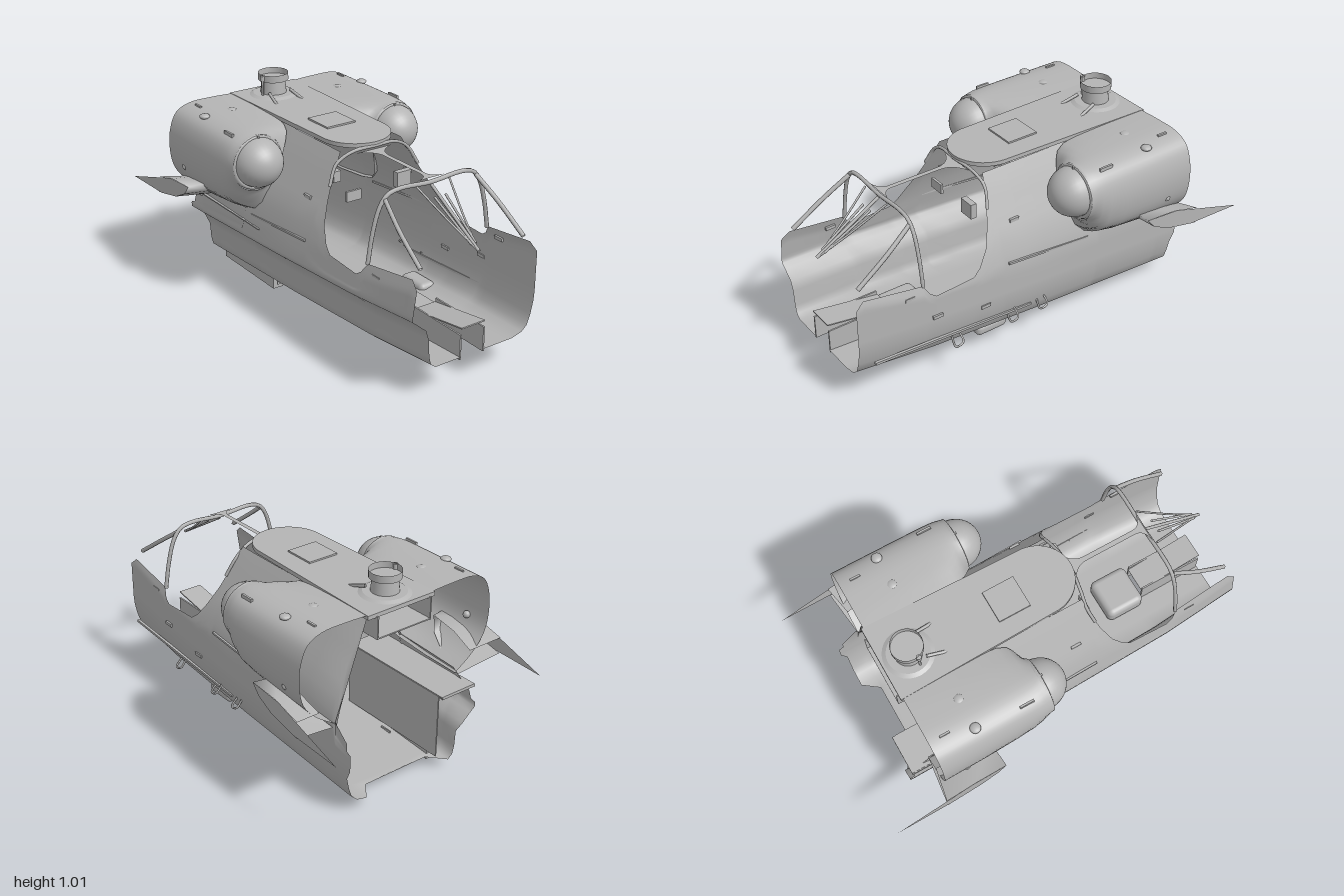
import * as THREE from 'three';
import { RoundedBoxGeometry } from 'three/addons/geometries/RoundedBoxGeometry.js';

const grey = new THREE.MeshStandardMaterial({ color: 0xb4b4b4, side: THREE.DoubleSide });
grey.name = 'plain grey';
const lerp = THREE.MathUtils.lerp;

// piecewise linear lookup in [key, value] pairs with falling keys
function table(pairs, k) {
  for (let i = 1; i < pairs.length; i++) {
    const [k0, v0] = pairs[i - 1], [k1, v1] = pairs[i];
    if (k >= k1) return lerp(v0, v1, Math.min(1, Math.max(0, (k0 - k) / (k0 - k1))));
  }
  return pairs[pairs.length - 1][1];
}

// skin through equal-length rows of [x, y, z]
function loft(rows) {
  const n = rows[0].length, index = [];
  for (let i = 0; i < rows.length - 1; i++)
    for (let j = 0; j < n - 1; j++) {
      const a = i * n + j, b = a + n;
      index.push(a, b, a + 1, b, b + 1, a + 1);
    }
  const g = new THREE.BufferGeometry();
  g.setAttribute('position', new THREE.Float32BufferAttribute(rows.flat(2), 3));
  g.setIndex(index);
  g.computeVertexNormals();
  return g;
}

export function createModel() {
  const model = new THREE.Group();
  model.name = 'helicopterFuselage';

  const add = (name, geo, x = 0, y = 0, z = 0) => {
    const m = new THREE.Mesh(geo, grey);
    m.name = name;
    m.position.set(x, y, z);
    model.add(m);
    return m;
  };
  const box = (name, w, h, d, x, y, z) => add(name, new THREE.BoxGeometry(w, h, d), x, y, z);
  const cyl = (name, r0, r1, h, x, y, z) => add(name, new THREE.CylinderGeometry(r0, r1, h, 28), x, y, z);
  const bar = (name, pts, r) => {
    const c = new THREE.CatmullRomCurve3(pts.map(p => new THREE.Vector3(...p)), false, 'centripetal');
    return add(name, new THREE.TubeGeometry(c, pts.length > 2 ? 40 : 1, r, 6), 0, 0, 0);
  };

  // hull: two open half shells; the right-hand one has a ledge and is cut away inside its nacelle
  const sillFront = [[0.99, 0.55], [0.95, 0.585], [0.66, 0.545], [0.63, 0.5], [0.6, 0.48], [0.4, 0.49], [0.36, 0.52],
    [0.31, 0.59], [0.27, 0.68], [0.24, 0.78], [0.22, 0.88]];
  const sillRear = {
    '1': [[-0.3, 0.88], [-0.32, 0.88], [-0.68, 0.88], [-0.71, 0.45], [-0.79, 0.38]],
    '-1': [[-0.3, 0.88], [-0.32, 0.47], [-0.68, 0.45], [-0.71, 0.43], [-0.79, 0.38]],
  };
  const halfWidth = [[1, 0.33], [0.6, 0.358], [0, 0.365], [-0.8, 0.36]];
  const upperWidth = [[0.88, 0.17], [0.8, 0.215], [0.7, 0.265], [0.6, 0.318], [0.5, 0.352], [0.4, 0.375], [0.3, 0.375]];
  for (const s of [1, -1]) {
    const sill = [...sillFront, ...sillRear[s]];
    const stations = [...sill.map(p => p[0]), 0.8, 0.5, 0.1, 0, -0.15, -0.5].sort((a, b) => b - a);
    add(s > 0 ? 'hullLeft' : 'hullRight', loft(stations.map(z => {
      const b = 0.098 + 0.062 * z, w = table(halfWidth, z), top = table(sill, z);
      const slot = z > 0.64 ? (s > 0 ? 0.05 : 0.08) : 0;
      const lower = s > 0
        ? [[w - 0.12, 0], [w - 0.065, 0.014], [w - 0.035, 0.04], [w - 0.017, 0.09], [w - 0.004, 0.15], [w, 0.2], [w, 0.22], [w, 0.24]]
        : [[w - 0.11, 0], [w - 0.085, 0.02], [w - 0.075, 0.06], [w - 0.07, 0.14], [w - 0.055, 0.19], [w - 0.01, 0.23], [w + 0.016, 0.25], [w + 0.018, 0.27]];
      const half = [[slot, b], [0.18, b], ...lower.map(([x, y]) => [x, b + y])];
      const start = half[half.length - 1];
      for (let i = 1; i <= 9; i++) {
        const y = lerp(start[1], top, i / 9);
        half.push([Math.min(lerp(start[0], w, i / 9), table(upperWidth, y)), y]);
      }
      // rear rim: floor ends early, flank bulges aft
      return half.map(([x, y]) => [s * x, y, x < 0.2 ? Math.max(z, -0.71) : z < -0.75 && y > 0.2 && y < 0.33 ? z - 0.025 : z]);
    })));
  }

  // roof deck with a rounded hood over the cockpit
  const roof = new THREE.Shape();
  roof.moveTo(-0.19, -0.71);
  roof.lineTo(-0.17, 0.1);
  roof.bezierCurveTo(-0.16, 0.2, -0.08, 0.26, 0, 0.26);
  roof.bezierCurveTo(0.08, 0.26, 0.16, 0.2, 0.17, 0.1);
  roof.lineTo(0.19, -0.71);
  const roofGeo = new THREE.ExtrudeGeometry(roof, { depth: 0.02, bevelEnabled: false, curveSegments: 16 });
  roofGeo.rotateX(Math.PI / 2);
  add('roofDeck', roofGeo, 0, 0.905, 0);
  box('roofPanel', 0.16, 0.01, 0.16, -0.01, 0.908, -0.08);
  bar('hoodLip', [[-0.25, 0.74, 0.25], [-0.2, 0.83, 0.23], [-0.12, 0.875, 0.24], [0, 0.885, 0.255],
    [0.12, 0.875, 0.24], [0.2, 0.83, 0.23], [0.25, 0.74, 0.25]], 0.008);

  // gearbox well hanging under the deck
  box('gearboxWellFloor', 0.3, 0.006, 0.3, -0.01, 0.785, -0.57);
  for (const x of [-0.16, 0.14]) box('gearboxWellWall', 0.006, 0.11, 0.3, x, 0.835, -0.57);

  // rotor mast
  cyl('mastBase', 0.1, 0.125, 0.012, -0.015, 0.908, -0.58);
  cyl('mastNeck', 0.058, 0.065, 0.07, -0.015, 0.95, -0.58);
  add('mastRing', new THREE.CylinderGeometry(0.075, 0.075, 0.036, 28, 1, true), -0.015, 0.998, -0.58);
  cyl('mastCap', 0.074, 0.074, 0.004, -0.015, 0.984, -0.58);
  for (const s of [-1, 1])
    bar('mastRod', [[-0.015 + s * 0.075, 0.9, -0.43], [-0.015 + s * 0.06, 0.93, -0.52]], 0.008);
  bar('mastLink', [[-0.09, 0.9, -0.56], [-0.09, 1.0, -0.56]], 0.006);
  cyl('mastLinkHead', 0.012, 0.012, 0.025, -0.09, 1.0, -0.56);

  // engine nacelles, intakes and stub wings, mirrored
  const nacelleD = [[0.17, 0.9], [0.3, 0.907], [0.43, 0.903], [0.5, 0.87], [0.535, 0.8], [0.545, 0.7],
    [0.522, 0.59], [0.455, 0.51], [0.35, 0.44]];
  const growth = [[-0.125, 0], [-0.14, 0.15], [-0.16, 0.46], [-0.185, 0.72], [-0.23, 0.87], [-0.32, 0.94], [-0.5, 1], [-0.7, 1.02]];
  for (const s of [-1, 1]) {
    add('nacelle', loft(growth.map(([z, t]) => {
      const pts = nacelleD.map(([x, y], i) => {
        const a = Math.PI - i * Math.PI / 4;
        return new THREE.Vector3(s * lerp(0.392 + 0.135 * Math.cos(a), x, t), lerp(0.765 + 0.135 * Math.sin(a), y, t), z);
      });
      return new THREE.CatmullRomCurve3(pts).getPoints(32).map(p => p.toArray());
    })));
    add('intakeRing', new THREE.TorusGeometry(0.122, 0.013, 8, 32), s * 0.392, 0.767, -0.135);
    const dome = new THREE.SphereGeometry(0.12, 28, 10, 0, Math.PI * 2, 0, Math.PI / 2);
    dome.rotateX(Math.PI / 2);
    add('intakeDome', dome, s * 0.392, 0.77, -0.13).scale.z = 1.05;
    // duct behind the intake
    const duct = new THREE.CylinderGeometry(0.07, 0.07, 0.08, 24, 1, true);
    duct.rotateX(Math.PI / 2);
    add('intakeDuct', duct, s * 0.392, 0.767, -0.175);
    add('intakeBackPlate', new THREE.RingGeometry(0.07, 0.13, 32), s * 0.392, 0.767, -0.14);
    box('intakeClip', 0.008, 0.03, 0.05, s * 0.392, 0.885, -0.14);

    for (const x of [0.31, 0.46])
      add('deckBump', new THREE.SphereGeometry(0.026, 12, 8), s * x, 0.9, -0.49).scale.y = 0.5;
    box('deckHandle', 0.01, 0.018, 0.07, s * 0.475, 0.89, -0.24);
    box('deckHandle', 0.01, 0.014, 0.05, s * 0.42, 0.905, -0.62);
    add('sideBump', new THREE.SphereGeometry(0.018, 12, 8), s * 0.525, 0.63, -0.58);

    // root sections are [x, z, y], reaching further inboard along the underside
    const tipX = s > 0 ? 0.582 : 0.604;
    const root = [[0.44, -0.7, 0.52], [0.45, -0.58, 0.565], [0.46, -0.43, 0.585], [0.43, -0.47, 0.52], [0.4, -0.56, 0.465], [0.365, -0.7, 0.42]];
    const tip = [[-0.73, 0.545], [-0.58, 0.583], [-0.42, 0.593], [-0.46, 0.545], [-0.55, 0.5], [-0.73, 0.463]];
    add('stubWing', loft([root.map(([x, z, y]) => [s * x, y, z]), tip.map(([z, y]) => [s * tipX, y, z])]));
    // thin tip rib with a long trailing point
    const rib = new THREE.ShapeGeometry(new THREE.Shape([[-0.42, 0.593], [-0.6, 0.58], [-0.99, 0.46], [-0.7, 0.468],
      [-0.55, 0.5], [-0.46, 0.545]].map(p => new THREE.Vector2(...p))));
    rib.rotateY(-Math.PI / 2);
    add('wingTipRib', rib, s * tipX, 0, 0);

    // windscreen side posts and braces
    bar('sidePost', [[s * 0.25, 0.82, 0.66], [s * 0.272, 0.73, 0.79], [s * 0.283, 0.62, 0.95]], 0.011);
    bar('centreBrace', [[s * 0.09, 0.845, 0.67], [s * 0.045, 0.74, 0.82], [0, 0.64, 0.98]], 0.005);
    bar('wiper', [[s * 0.03, 0.8, 0.72], [s * 0.012, 0.66, 0.95]], 0.006);

    // side fittings
    box('sideStrip', 0.01, 0.01, 0.46, s * 0.36, 0.47, -0.02).rotation.x = -0.08;
    for (const [x, y, z] of [[0.342, 0.51, 0.73], [0.287, 0.66, 0.13]])
      box('sideLatch', 0.014, 0.016, 0.05, s * x, y, z);
  }
  box('lowerRail', 0.014, 0.012, 0.85, 0.35, 0.225, 0.5).rotation.x = -0.06;
  for (const [y, z] of [[0.37, 0.6], [0.31, 0.34]]) box('sideLatch', 0.014, 0.016, 0.05, 0.36, y, z);

  // windscreen frame
  bar('windscreenArch', [[-0.335, 0.54, 0.655], [-0.31, 0.68, 0.655], [-0.275, 0.79, 0.655], [-0.235, 0.838, 0.655],
    [-0.17, 0.852, 0.655], [0, 0.842, 0.655], [0.17, 0.852, 0.655], [0.235, 0.838, 0.655], [0.275, 0.79, 0.655],
    [0.31, 0.68, 0.655], [0.335, 0.54, 0.655]], 0.01);
  bar('centrePost', [[0, 0.83, 0.66], [0, 0.64, 0.985]], 0.008);

  // thin canopy spine, flared at both ends
  const spine = new THREE.Shape();
  spine.moveTo(-0.1, 0.24);
  spine.quadraticCurveTo(-0.012, 0.27, -0.012, 0.34);
  spine.lineTo(-0.012, 0.6);
  spine.quadraticCurveTo(-0.012, 0.645, -0.08, 0.655);
  spine.lineTo(0.08, 0.655);
  spine.quadraticCurveTo(0.012, 0.645, 0.012, 0.6);
  spine.lineTo(0.012, 0.34);
  spine.quadraticCurveTo(0.012, 0.27, 0.1, 0.24);
  const spineGeo = new THREE.ShapeGeometry(spine);
  spineGeo.rotateX(Math.PI / 2);
  add('canopySpine', spineGeo, 0, 0.862, 0);

  // steps on the left flank
  for (const z of [0.02, 0.19, 0.5])
    bar('stepLoop', [[0.345, 0.22, z - 0.02], [0.38, 0.18, z - 0.02], [0.38, 0.17, z + 0.02], [0.345, 0.21, z + 0.02]], 0.005);

  // cockpit floor channel, open below, and fairing
  for (const x of [-0.08, 0.05]) box('channelWall', 0.008, 0.12, 0.33, x, 0.205, 0.82);
  box('channelLid', 0.13, 0.006, 0.34, -0.015, 0.27, 0.82).rotation.x = -0.16;
  add('floorFairing', new RoundedBoxGeometry(0.21, 0.1, 0.2, 3, 0.03), -0.013, 0.17, 0.55);
  box('seatPanel', 0.08, 0.05, 0.012, -0.13, 0.675, 0.265);
  box('instrumentBox', 0.08, 0.075, 0.03, 0.14, 0.7, 0.275);
  box('wallBox', 0.045, 0.06, 0.05, 0.3, 0.415, -0.5);

  // equipment bay at the rear of the right-hand wall
  box('bayWall', 0.006, 0.32, 0.62, -0.18, 0.25, -0.47);
  box('bayFront', 0.1, 0.32, 0.006, -0.23, 0.25, -0.16);
  box('bayTop', 0.2, 0.006, 0.64, -0.28, 0.41, -0.48);
  box('bayRearShelf', 0.2, 0.012, 0.1, -0.285, 0.404, -0.75);

  // underside fittings
  cyl('bellyPin', 0.026, 0.024, 0.1, -0.013, 0.052, -0.09);
  add('bellyBlister', new RoundedBoxGeometry(0.09, 0.06, 0.17, 3, 0.025), 0.26, 0.115, 0.26);
  box('bellyFairing', 0.055, 0.18, 0.46, -0.225, 0.115, -0.47);
  box('bellyBlade', 0.006, 0.06, 0.06, -0.165, 0.05, -0.45);

  return model;
}
